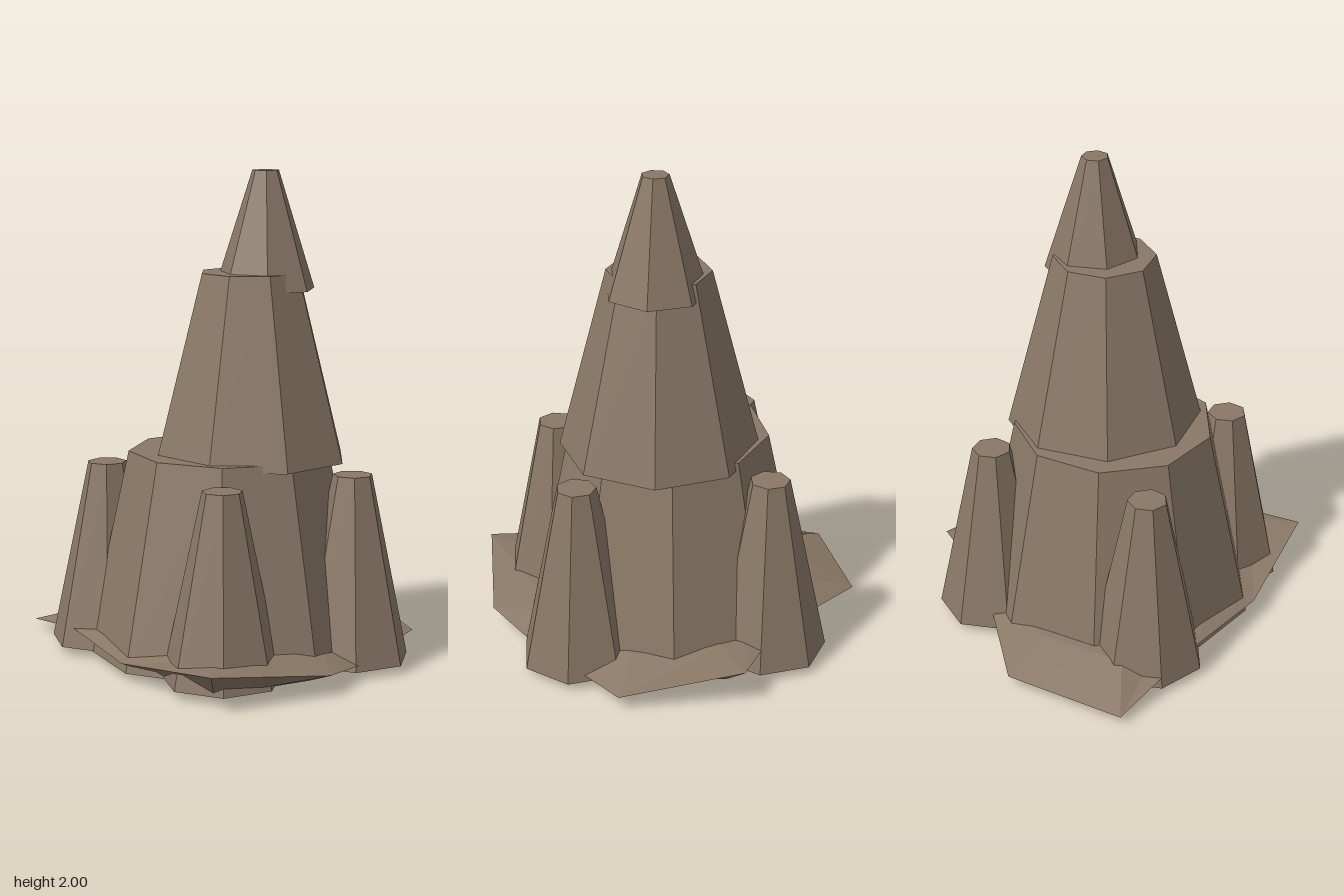
import * as THREE from 'three';

export function createModel() {
  const group = new THREE.Group();
  group.name = 'rockSpire';
  const rock = new THREE.MeshStandardMaterial({ color: 0x8a7866 });
  rock.name = 'brown rock';

  // Tapered faceted column with one corner pointing to the back
  function column(name, sides, rTop, rBottom, y0, y1, x, z) {
    const geo = new THREE.CylinderGeometry(rTop, rBottom, y1 - y0, sides).toNonIndexed();
    geo.rotateY(Math.PI);
    geo.computeVertexNormals();
    const mesh = new THREE.Mesh(geo, rock);
    mesh.name = name;
    mesh.position.set(x, (y0 + y1) / 2, z);
    group.add(mesh);
  }

  // Three stacked tiers, each a little off centre
  column('lowerTier', 9, 0.416, 0.593, 0.03, 0.86, 0.085, -0.04);
  column('middleTier', 8, 0.21, 0.407, 0.83, 1.59, 0.16, -0.075);
  column('peak', 7, 0.055, 0.208, 1.52, 2, 0.21, -0.11);

  // Four side spires around the foot
  [[0.61, -0.08], [0.27, 0.445], [-0.42, 0.08], [0, -0.55]].forEach(([x, z], i) =>
    column('sideSpire' + (i + 1), 7, 0.081, 0.241, 0.033, 0.79, x, z));

  // Jagged ground slab: rings from the underside, over the rim, to the top
  const rim = [
    [-0.84, 0.035, -0.04], [-0.48, 0.115, 0.28], [-0.12, 0.08, 0.55], [0.38, 0.15, 0.79],
    [0.70, 0.085, 0.37], [0.72, 0.06, 0.12], [0.74, 0.06, -0.47], [0.35, 0.15, -0.78],
    [0.0, 0.12, -0.6], [-0.58, 0.05, -0.49],
  ];
  const ring = (s, y, keep) => rim.map(([x, h, z]) =>
    [0.08 + (x - 0.08) * s, y + (h - y) * keep, z * s]);
  const rings = [ring(0, 0, 0), ring(0.8, 0.028, 0), rim, ring(0.72, 0.14, 0.2), ring(0, 0.16, 0)];
  const points = [];
  for (let r = 0; r < rings.length - 1; r++) {
    const a = rings[r], b = rings[r + 1];
    for (let i = 0; i < rim.length; i++) {
      const j = (i + 1) % rim.length;
      if (r > 0) points.push(...a[i], ...a[j], ...b[j]);
      if (r < rings.length - 2) points.push(...a[i], ...b[j], ...b[i]);
    }
  }
  const slabGeo = new THREE.BufferGeometry();
  slabGeo.setAttribute('position', new THREE.Float32BufferAttribute(points, 3));
  slabGeo.computeVertexNormals();
  const slab = new THREE.Mesh(slabGeo, rock);
  slab.name = 'groundSlab';
  group.add(slab);

  return group;
}
